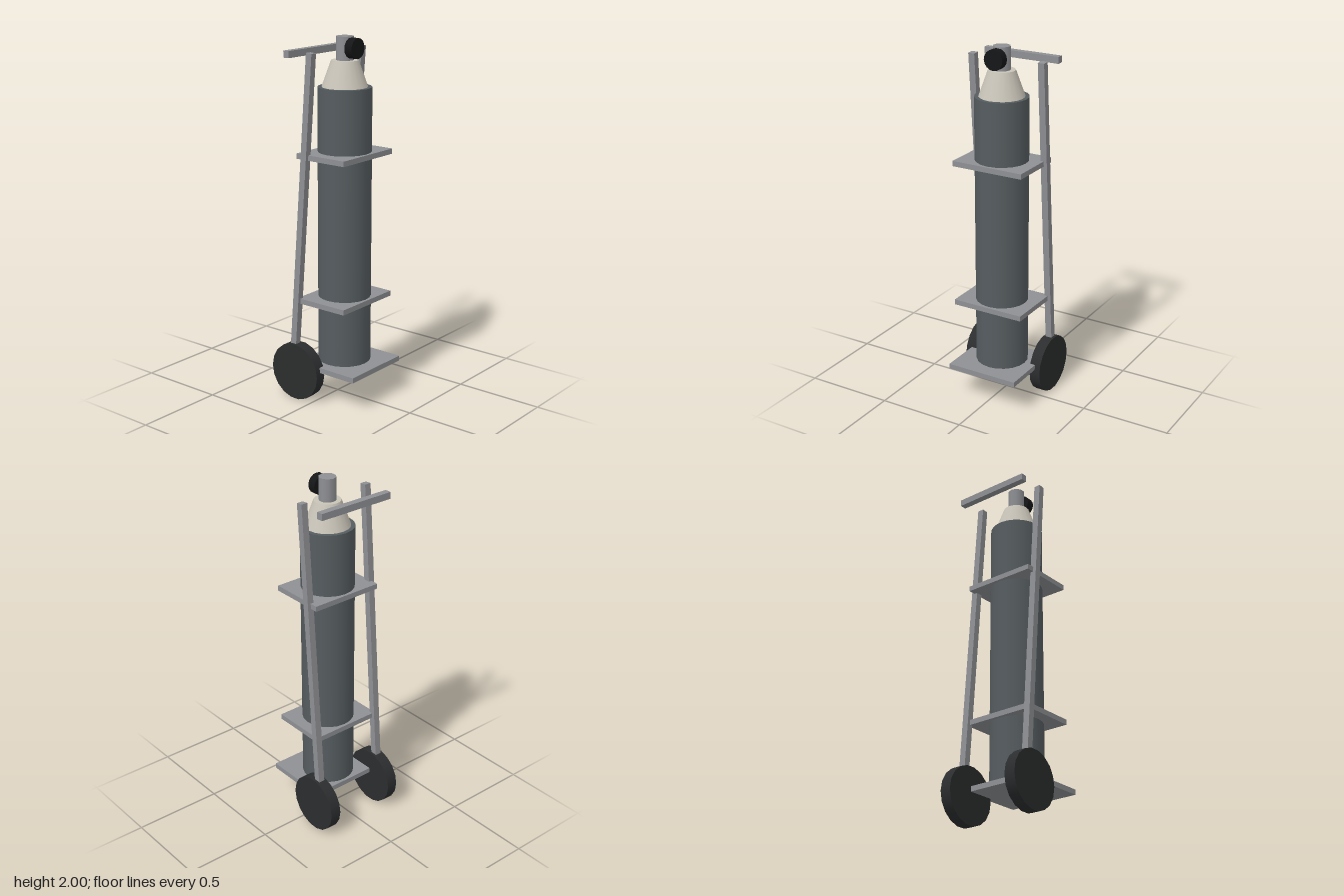
import * as THREE from 'three';

const paint = (color) => new THREE.MeshStandardMaterial({ color });

export function createModel() {
  const model = new THREE.Group();
  model.name = 'gasCylinderCart';
  const steel = paint(0x8f9094);
  const tankPaint = paint(0x565d60);
  const cream = paint(0xc9c4b8);
  const rubber = paint(0x2b2d2e);
  const black = paint(0x151617);

  const add = (name, geometry, material, x, y, z) => {
    const mesh = new THREE.Mesh(geometry, material);
    mesh.name = name;
    mesh.position.set(x, y, z);
    model.add(mesh);
    return mesh;
  };
  const box = (name, w, h, d, x, y, z) =>
    add(name, new THREE.BoxGeometry(w, h, d), steel, x, y, z);
  const drum = (name, rTop, rBottom, h, sides, material, x, y, z) =>
    add(name, new THREE.CylinderGeometry(rTop, rBottom, h, sides), material, x, y, z);

  // Gas cylinder with shoulder, valve and hand knob
  const tankZ = 0.047;
  drum('tank', 0.145, 0.145, 1.535, 20, tankPaint, 0, 0.9675, tankZ);
  drum('shoulder', 0.073, 0.123, 0.14, 20, cream, 0, 1.805, tankZ);
  drum('valve', 0.047, 0.047, 0.14, 10, steel, 0, 1.93, tankZ);
  drum('valveKnob', 0.055, 0.055, 0.047, 16, black, 0, 1.94, 0.11).rotation.x = Math.PI / 2;

  // Toe plate and the two plates that hold the cylinder
  box('toePlate', 0.418, 0.029, 0.385, 0, 0.197, 0.08);
  box('lowerPlate', 0.418, 0.029, 0.32, 0, 0.568, tankZ);
  box('upperPlate', 0.418, 0.029, 0.32, 0, 1.375, tankZ);

  // Handle bar behind the rails
  box('handle', 0.45, 0.037, 0.037, 0, 1.909, -0.164);

  // Leaning rails and wheels, mirrored
  const tilt = 0.0763;
  const railLength = 1.72;
  for (const [side, s] of [['left', 1], ['right', -1]]) {
    const rail = box(side + 'Rail', 0.037, railLength, 0.037, s * 0.209,
      1.927 - (railLength / 2) * Math.cos(tilt),
      -0.008 - (railLength / 2) * Math.sin(tilt));
    rail.rotation.x = tilt;
    drum(side + 'Wheel', 0.161, 0.161, 0.063, 18, rubber, s * 0.21, 0.161, -0.113).rotation.z = Math.PI / 2;
  }
  return model;
}
